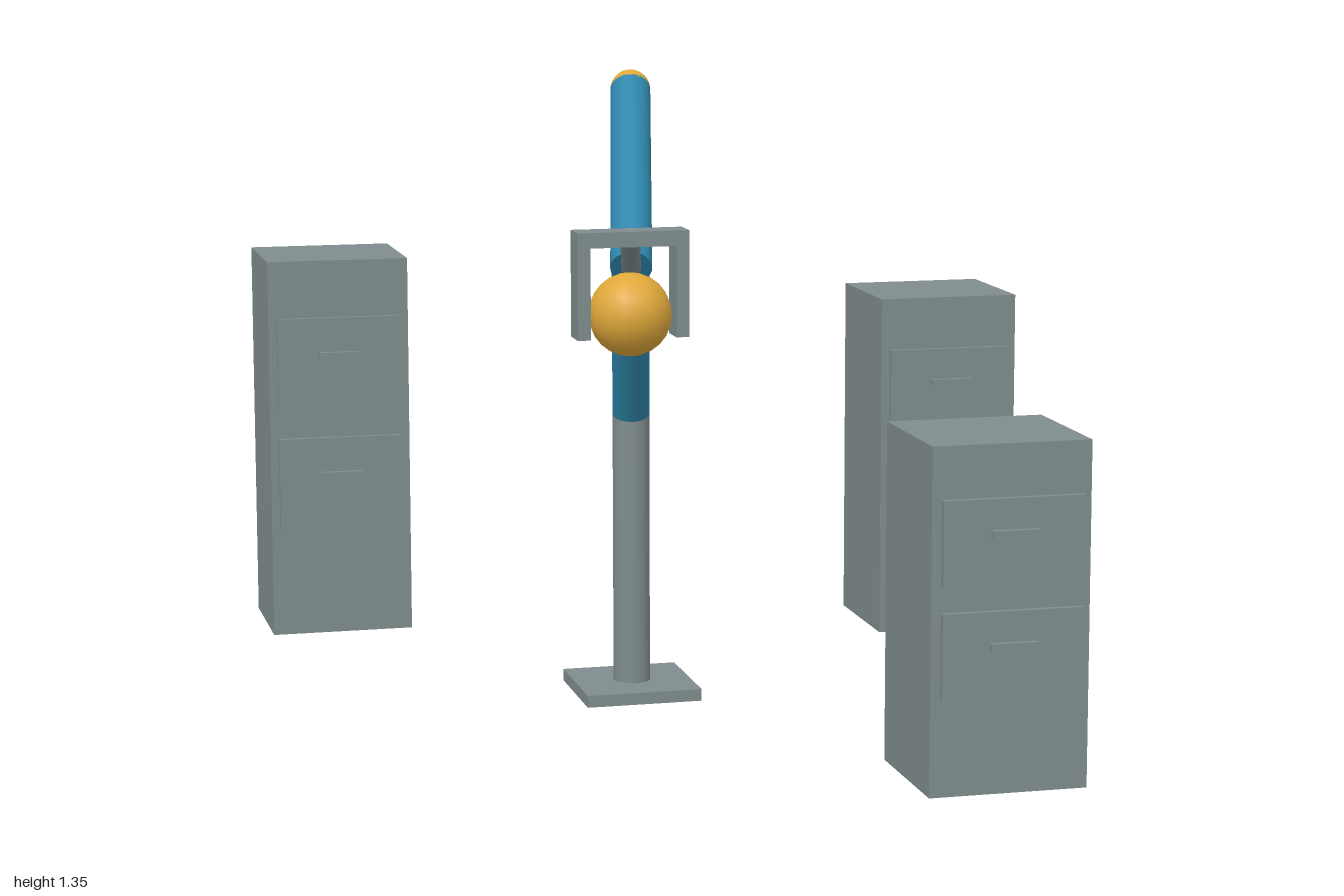
import * as THREE from 'three';

export function createModel() {
  const model = new THREE.Group();
  const mat = (name, color) => {
    const m = new THREE.MeshStandardMaterial({ color });
    m.name = name;
    return m;
  };
  const grey = mat('steelGrey', 0x7f8c8d);
  const blue = mat('armBlue', 0x2e86ab);
  const gold = mat('gold', 0xe0a83a);

  const add = (parent, name, geometry, material, x, y, z) => {
    const mesh = new THREE.Mesh(geometry, material);
    mesh.name = name;
    mesh.position.set(x, y, z);
    parent.add(mesh);
    return mesh;
  };
  const box = (parent, name, w, h, d, x, y, z) =>
    add(parent, name, new THREE.BoxGeometry(w, h, d), grey, x, y, z);

  // Straight round bar between two points
  const bar = (parent, name, a, b, radius, material) => {
    const dir = b.clone().sub(a);
    const mid = a.clone().add(b).multiplyScalar(0.5);
    const mesh = add(parent, name, new THREE.CylinderGeometry(radius, radius, dir.length(), 32),
      material, mid.x, mid.y, mid.z);
    mesh.quaternion.setFromUnitVectors(new THREE.Vector3(0, 1, 0), dir.normalize());
  };

  // Filing cabinets: two drawers each, sized in proportion to the height
  const depth = 0.286;
  const cabinet = (name, x, z, h) => {
    const g = new THREE.Group();
    g.name = name;
    g.position.set(x, 0, z);
    box(g, 'cabinetBody', 0.315, h, depth, 0, h / 2, 0);
    for (const level of [0.728, 0.408]) {
      const y = level * h;
      box(g, 'drawerFront', 0.28, 0.245 * h, 0.013, 0, y, depth / 2 + 0.0125);
      box(g, 'drawerHandle', 0.094, 0.014, 0.013, 0, y + 0.024 * h, depth / 2 + 0.0255);
    }
    model.add(g);
  };
  cabinet('tallCabinet', -0.67, -0.857, 0.85);
  cabinet('middleCabinet', 0.666, -0.548, 0.763);
  cabinet('shortCabinet', 0.355, 0.788, 0.674);

  // Arm: pedestal, two links and gold joints
  const arm = new THREE.Group();
  arm.name = 'roboticArm';
  model.add(arm);
  const r = 0.0385;
  const shoulder = new THREE.Vector3(-0.158, 0.595, -0.0175);
  const elbow = new THREE.Vector3(-0.256, 1.307, 0.412);
  const wrist = new THREE.Vector3(-0.35, 1.012, 0.822);
  const grip = new THREE.Vector3(-0.376, 1.08, 0.925);
  box(arm, 'basePlate', 0.244, 0.025, 0.244, shoulder.x, 0.0125, shoulder.z);
  bar(arm, 'column', new THREE.Vector3(shoulder.x, 0.025, shoulder.z), shoulder, r, grey);
  bar(arm, 'upperArm', shoulder, elbow, r, blue);
  bar(arm, 'forearm', elbow, wrist, r, blue);
  bar(arm, 'wristRod', wrist, grip, 0.018, grey);
  for (const [name, p] of [['shoulderJoint', shoulder], ['elbowJoint', elbow]])
    add(arm, name, new THREE.SphereGeometry(r, 32, 20), gold, p.x, p.y, p.z);

  // Gripper bracket holding the ball
  const gripper = new THREE.Group();
  gripper.name = 'gripper';
  gripper.position.copy(grip);
  arm.add(gripper);
  box(gripper, 'gripperBar', 0.206, 0.028, 0.058, 0, 0, 0);
  for (const side of [-1, 1])
    box(gripper, 'finger', 0.024, 0.166, 0.058, side * 0.091, -0.097, 0);
  add(gripper, 'ball', new THREE.SphereGeometry(0.076, 16, 12), gold, 0, -0.139, 0);

  return model;
}
